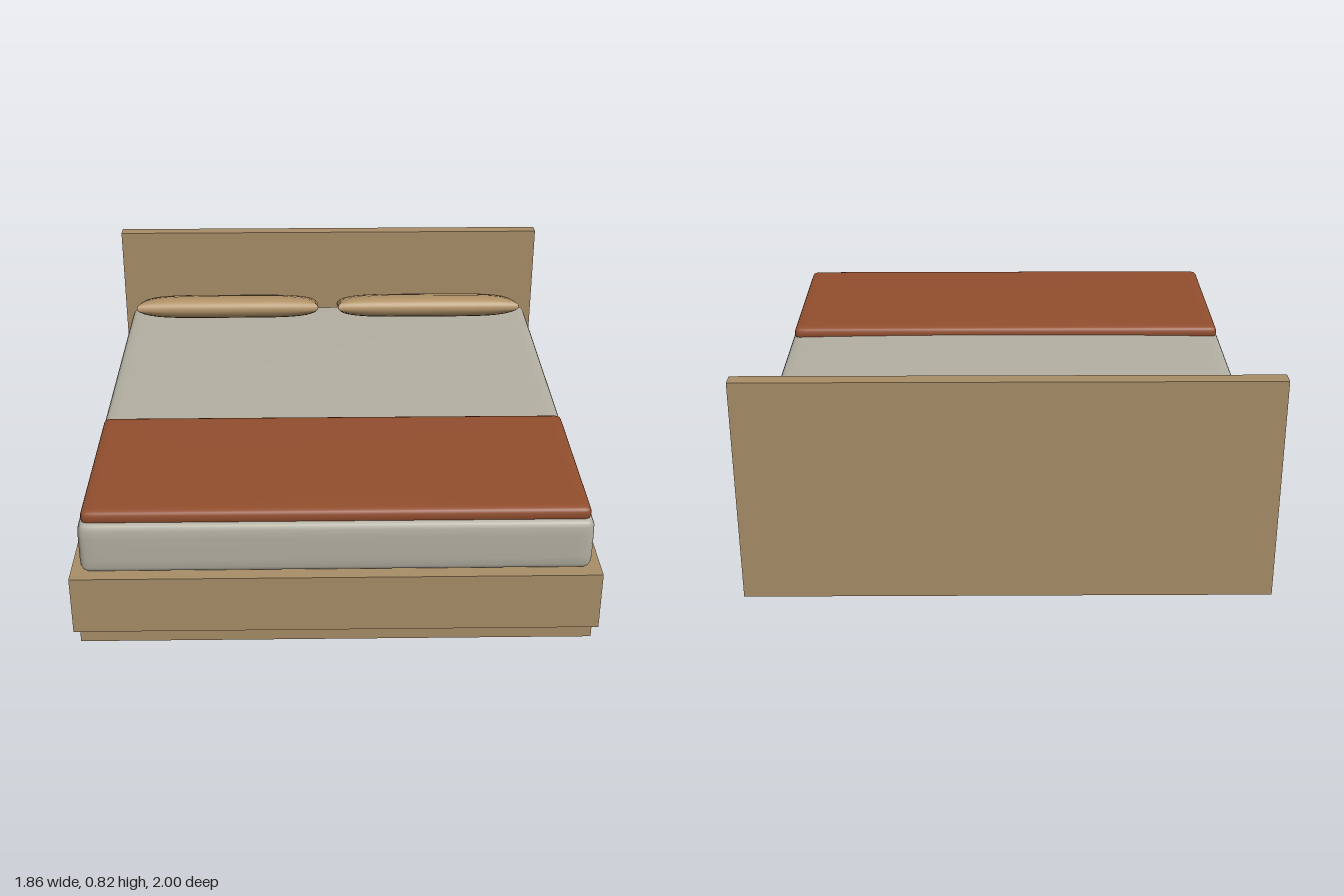
import * as THREE from 'three';
import { mergeVertices } from 'three/addons/utils/BufferGeometryUtils.js';

const mat = (name, color) => {
  const m = new THREE.MeshStandardMaterial({ color });
  m.name = name;
  return m;
};

// Subdivided box whose vertices are moved by a rule, then smoothed
function warpedBox(w, h, d, segs, rule) {
  let g = new THREE.BoxGeometry(2, 2, 2, ...segs);
  g.deleteAttribute('uv');
  g.deleteAttribute('normal');
  const p = g.attributes.position;
  const v = new THREE.Vector3();
  for (let i = 0; i < p.count; i++) {
    v.fromBufferAttribute(p, i);
    rule(v, w / 2, h / 2, d / 2);
    p.setXYZ(i, v.x, v.y, v.z);
  }
  g = mergeVertices(g, 1e-5);
  g.computeVertexNormals();
  return g;
}

// Box with rounded edges and a slightly domed top
function softBox(w, h, d, r, crown) {
  const bunch = (u) => Math.sign(u) * (1 - (1 - Math.abs(u)) ** 2); // denser near edges
  return warpedBox(w, h, d, [24, 8, 24], (v, hw, hh, hd) => {
    v.set(bunch(v.x) * hw, bunch(v.y) * hh, bunch(v.z) * hd);
    const core = new THREE.Vector3(
      THREE.MathUtils.clamp(v.x, r - hw, hw - r),
      THREE.MathUtils.clamp(v.y, r - hh, hh - r),
      THREE.MathUtils.clamp(v.z, r - hd, hd - r));
    v.sub(core).setLength(r).add(core);
    if (v.y > 0) v.y += crown * (1 - (v.x / hw) ** 2) * (1 - (v.z / hd) ** 2);
  });
}

// Cushion that is thickest in the middle and thins towards its seams
function pillowShape(w, h, d) {
  const bulge = (u, power) => Math.sqrt(Math.max(0, 1 - Math.abs(u) ** power));
  return warpedBox(w, h, d, [20, 4, 12], (v, hw, hh, hd) => {
    const x = Math.sin(v.x * Math.PI / 2), z = Math.sin(v.z * Math.PI / 2);
    const f = 0.28 + 0.72 * bulge(x, 5) * bulge(z, 3);
    const side = 1 - 0.02 * v.y * v.y;
    v.set(x * hw * side, v.y * hh * f, z * hd * side);
  });
}

export function createModel() {
  const bed = new THREE.Group();
  bed.name = 'bed';
  const wood = mat('wood', 0xa88e68);
  const linen = mat('mattress linen', 0xb3b0a2);
  const rust = mat('rust blanket', 0x924e2e);
  const tan = mat('pillow tan', 0xb4956a);

  const add = (name, geometry, material, x, y, z) => {
    const m = new THREE.Mesh(geometry, material);
    m.name = name;
    m.position.set(x, y, z);
    bed.add(m);
    return m;
  };

  // Wooden base
  add('headboard', new THREE.BoxGeometry(1.86, 0.825, 0.055), wood, 0, 0.4125, -0.9725);
  add('frame', new THREE.BoxGeometry(1.86, 0.22, 1.945), wood, 0, 0.165, 0.0275);
  add('plinth', new THREE.BoxGeometry(1.82, 0.055, 1.925), wood, 0, 0.0275, 0.0175);

  // Bedding
  add('mattress', softBox(1.79, 0.2, 1.905, 0.035, 0.01), linen, 0, 0.375, 0.0175);
  add('blanket', softBox(1.765, 0.055, 0.71, 0.024, 0.006), rust, 0, 0.4875, 0.595);

  // Pillows, tilted with the front edge raised
  const pillow = pillowShape(0.79, 0.098, 0.32);
  for (const [name, x] of [['rightPillow', -0.445], ['leftPillow', 0.43]]) {
    add(name, pillow, tan, x, 0.55, -0.752).rotation.x = -0.35;
  }
  return bed;
}
